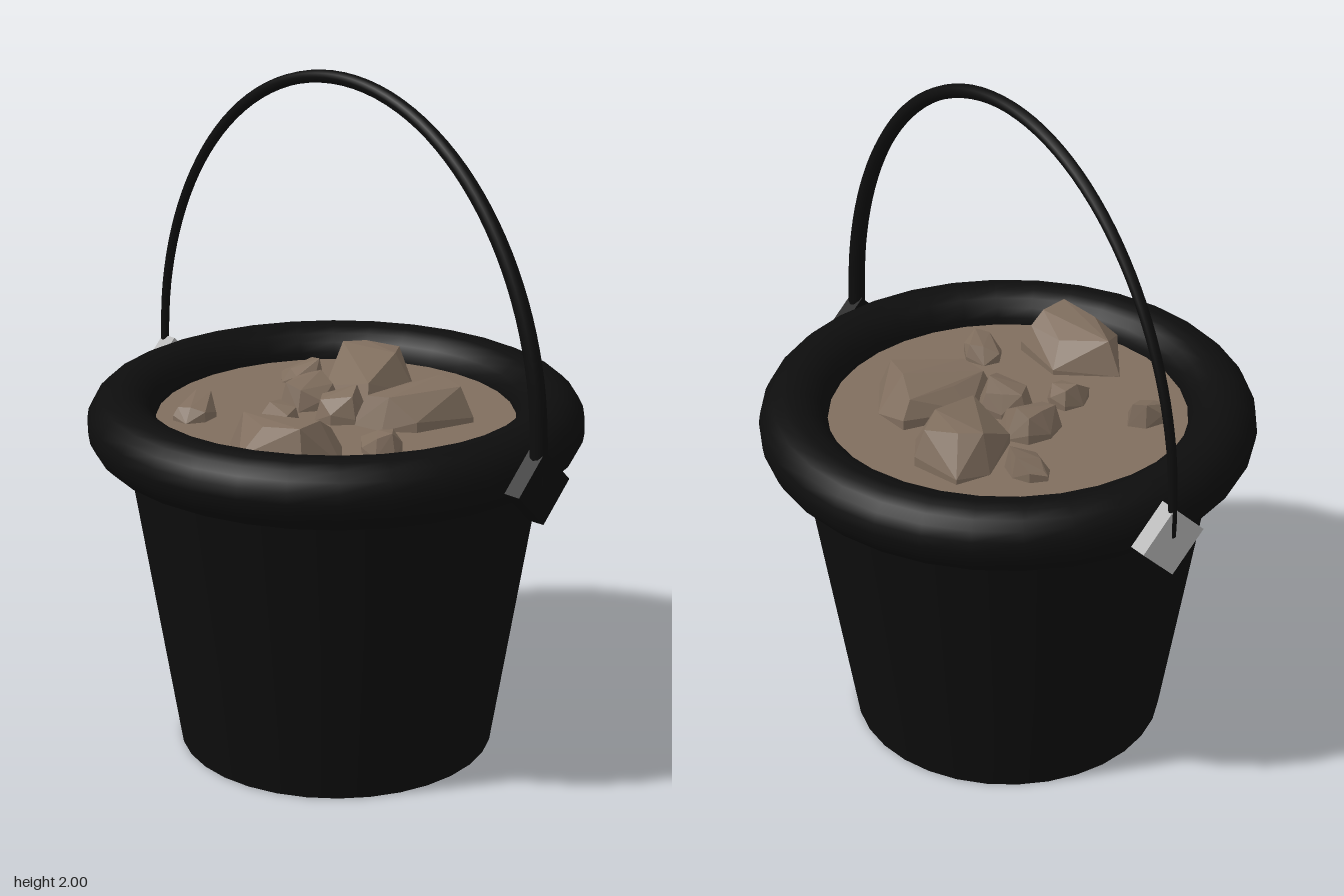
import * as THREE from 'three';
import { ConvexGeometry } from 'three/addons/geometries/ConvexGeometry.js';

const material = (name, color) => {
  const m = new THREE.MeshStandardMaterial({ color });
  m.name = name;
  return m;
};

// Rock: convex hull of a ground outline, a wider shoulder and a smaller tilted top
function rockGeometry(outline, top, tiltX, tiltZ) {
  const n = outline.length;
  const cx = outline.reduce((s, p) => s + p[0], 0) / n;
  const cz = outline.reduce((s, p) => s + p[1], 0) / n;
  const points = [];
  outline.forEach(([x, z], i) => {
    const dx = x - cx, dz = z - cz;
    points.push(new THREE.Vector3(x, 0.97, z));
    points.push(new THREE.Vector3(x, 1.0 + 0.015 * (i % 3), z));
    const k = i % 2 ? 0.55 : 0.78;
    points.push(new THREE.Vector3(cx + dx * k, top + tiltX * dx + tiltZ * dz - 0.012 * (i % 3), cz + dz * k));
  });
  return new ConvexGeometry(points);
}

// Irregular outline for a small stone
function stoneOutline(x, z, rx, rz, turn) {
  return Array.from({ length: 7 }, (_, i) => {
    const a = turn + (i / 7) * Math.PI * 2;
    const k = 1 - 0.14 * ((i * 3) % 4) / 3;
    return [x + Math.cos(a) * rx * k, z + Math.sin(a) * rz * k];
  });
}

export function createModel() {
  const black = material('black plastic', 0x0d0d0d);
  const grey = material('light grey metal', 0xb4b4b4);
  const brown = material('brown earth', 0x806e5e);

  const model = new THREE.Group();
  model.name = 'bucket';
  const add = (name, geometry, mat, parent = model) => {
    const mesh = new THREE.Mesh(geometry, mat);
    mesh.name = name;
    parent.add(mesh);
    return mesh;
  };

  // Tapered wall, closed by the base below and the earth above
  add('wall', new THREE.CylinderGeometry(0.62, 0.465, 0.99, 32, 1, true), black).position.y = 0.495;
  add('base', new THREE.CircleGeometry(0.465, 32).rotateX(Math.PI / 2), grey);
  add('earth', new THREE.CircleGeometry(0.6, 32).rotateX(-Math.PI / 2), brown).position.y = 1.0;

  // Thick rounded rim
  add('rim', new THREE.TorusGeometry(0.62, 0.1, 20, 32).rotateX(Math.PI / 2), black).position.y = 0.99;

  // Diamond-shaped handle mounts
  const mount = new THREE.BoxGeometry(0.15, 0.15, 0.052).rotateZ(Math.PI / 4);
  add('frontMount', mount, black).position.set(0.02, 0.965, 0.741);
  add('backMount', mount, grey).position.set(0.02, 0.965, -0.739);

  // Arched handle, thinner towards the back
  const path = [new THREE.Vector3(0.02, 0.95, 0.744)];
  for (let i = 0; i <= 16; i++) {
    const a = (i / 16) * Math.PI;
    path.push(new THREE.Vector3(0.02, 1.06 + 0.92 * Math.sin(a), 0.75 * Math.cos(a) - 0.006));
  }
  path.push(new THREE.Vector3(0.02, 0.98, -0.756));
  const curve = new THREE.CatmullRomCurve3(path);
  const rings = 64, sides = 10;
  const tube = new THREE.TubeGeometry(curve, rings, 1, sides);
  const pos = tube.attributes.position;
  const v = new THREE.Vector3();
  for (let i = 0; i <= rings; i++) {
    const centre = curve.getPointAt(i / rings);
    const radius = 0.026 - 0.014 * (i / rings);
    for (let j = 0; j <= sides; j++) {
      const k = i * (sides + 1) + j;
      v.fromBufferAttribute(pos, k).sub(centre).multiplyScalar(radius).add(centre);
      pos.setXYZ(k, v.x, v.y, v.z);
    }
  }
  add('handle', tube, black);

  // Rocks half buried in the earth
  const rocks = new THREE.Group();
  rocks.name = 'rocks';
  model.add(rocks);
  const large = [
    [[[-0.385, -0.04], [-0.235, 0.09], [-0.25, 0.265], [-0.3, 0.315], [-0.43, 0.29], [-0.505, 0.12]], 1.115, -0.12, 0.08],
    [[[0.245, -0.24], [0.35, -0.225], [0.385, -0.075], [0.3, 0.04], [0.06, 0.07], [0.1, -0.14]], 1.115, 0.12, -0.03],
    [[[-0.035, 0.1], [0.1, 0.05], [0.3, 0.1], [0.305, 0.22], [0.22, 0.335], [0.04, 0.28], [-0.02, 0.2]], 1.1, 0.06, 0.08],
  ];
  large.forEach(([outline, top, tx, tz], i) => add(`largeRock${i + 1}`, rockGeometry(outline, top, tx, tz), brown, rocks));

  // x, z, half width, half depth, top height
  const small = [
    [-0.3, -0.27, 0.075, 0.06, 1.055],
    [0.15, -0.29, 0.062, 0.075, 1.055],
    [-0.18, -0.05, 0.075, 0.06, 1.055],
    [-0.14, 0.31, 0.062, 0.075, 1.055],
    [0.01, -0.12, 0.095, 0.085, 1.08],
    [-0.01, 0.03, 0.095, 0.08, 1.08],
  ];
  small.forEach(([x, z, rx, rz, top], i) =>
    add(`smallRock${i + 1}`, rockGeometry(stoneOutline(x, z, rx, rz, i * 0.9), top, 0.15, i % 2 ? 0.2 : -0.2), brown, rocks));

  return model;
}
